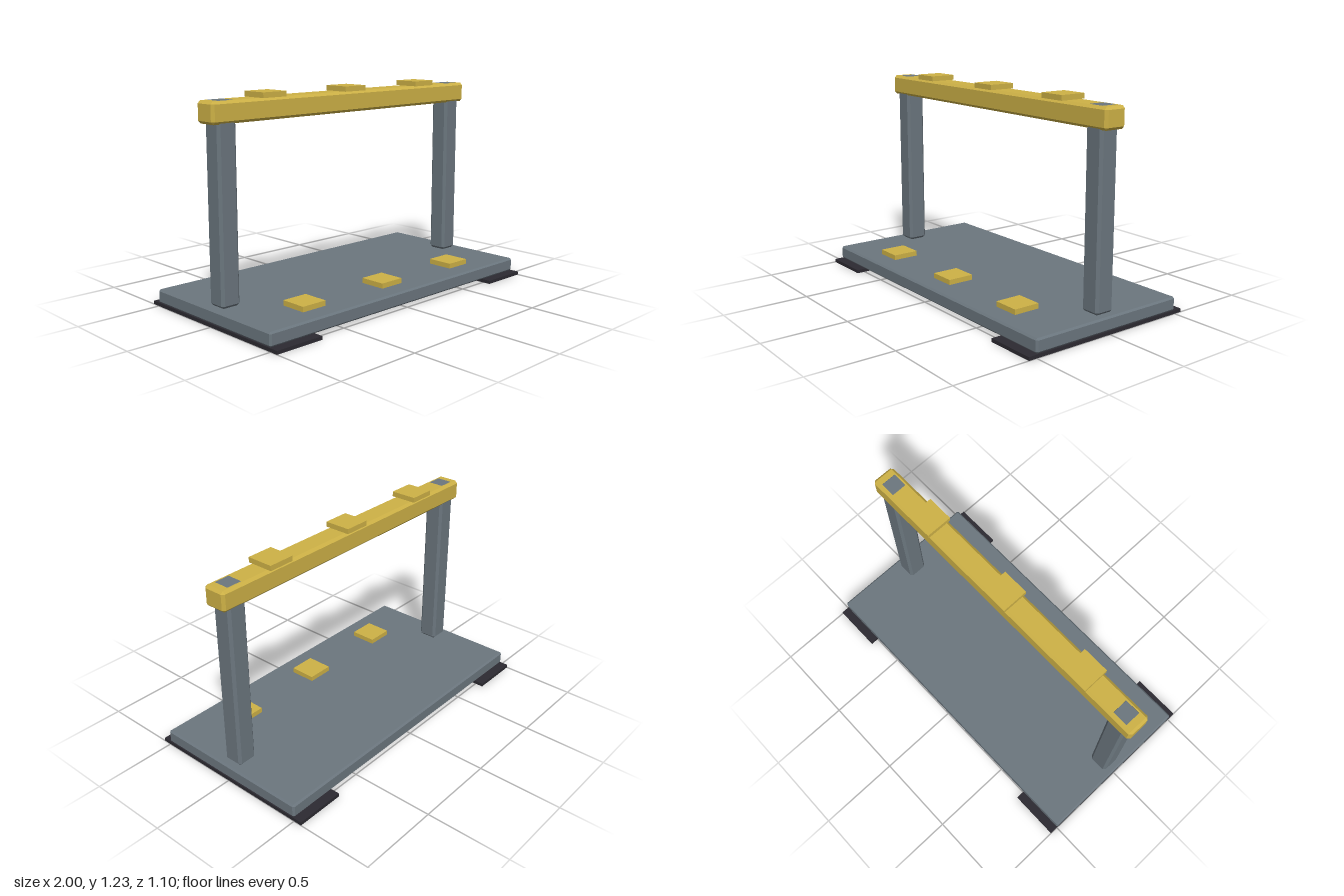
import * as THREE from 'three';
import { ConvexGeometry } from 'three/addons/geometries/ConvexGeometry.js';

// Box with every edge and corner chamfered by c.
function chamferedBox(w, h, d, c) {
  const points = [];
  for (const x of [-1, 1]) for (const y of [-1, 1]) for (const z of [-1, 1]) {
    for (let axis = 0; axis < 3; axis++) {
      const inset = [c, c, c];
      inset[axis] = 0;
      points.push(new THREE.Vector3(
        x * (w / 2 - inset[0]), y * (h / 2 - inset[1]), z * (d / 2 - inset[2])));
    }
  }
  return new ConvexGeometry(points);
}

export function createModel() {
  const group = new THREE.Group();

  const steel = new THREE.MeshStandardMaterial({ color: 0x6b767e });
  steel.name = 'grey steel';
  const yellow = new THREE.MeshStandardMaterial({ color: 0xcdb146 });
  yellow.name = 'mustard yellow';
  const rubber = new THREE.MeshStandardMaterial({ color: 0x2c2a31 });
  rubber.name = 'black rubber';

  const add = (name, geometry, material, x, y, z) => {
    const mesh = new THREE.Mesh(geometry, material);
    mesh.name = name;
    mesh.position.set(x, y, z);
    group.add(mesh);
  };

  // Base plate and crossbar
  add('basePlate', chamferedBox(2, 0.08, 1, 0.01), steel, 0, 0.06, 0);
  add('crossbar', chamferedBox(2, 0.12, 0.14, 0.015), yellow, 0, 1.14, 0);

  // Posts run through the crossbar so their ends show on top
  const postGeometry = chamferedBox(0.12, 1.101, 0.12, 0.015);
  const footGeometry = new THREE.BoxGeometry(0.3, 0.02, 1.1);
  for (const [side, s] of [['left', 1], ['right', -1]]) {
    add(side + 'Post', postGeometry, steel, s * 0.9, 0.6505, 0);
    add(side + 'Foot', footGeometry, rubber, s * 0.85, 0.01, 0);
  }

  // Square pads on the base and on the crossbar
  const padGeometry = new THREE.BoxGeometry(0.16, 0.03, 0.16);
  [-0.6, 0, 0.6].forEach((x, i) => {
    add('basePad' + (i + 1), padGeometry, yellow, x, 0.115, 0.3);
    add('crossbarPad' + (i + 1), padGeometry, yellow, x, 1.215, 0);
  });

  return group;
}
